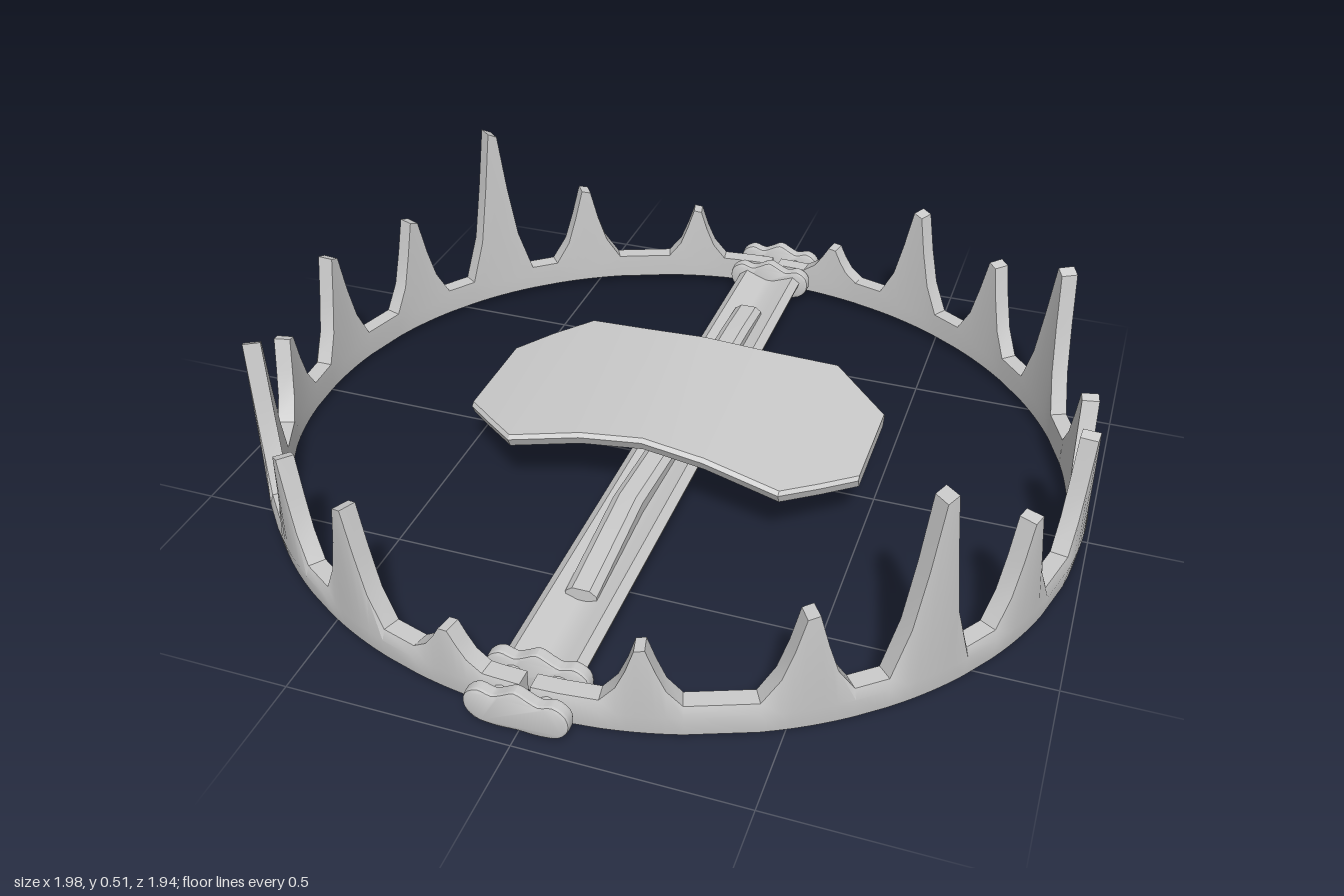
import * as THREE from 'three';
import { toCreasedNormals } from 'three/addons/utils/BufferGeometryUtils.js';

const steel = new THREE.MeshStandardMaterial({ color: 0xcccccc });

function part(name, geometry, parent) {
  const mesh = new THREE.Mesh(geometry, steel);
  mesh.name = name;
  parent.add(mesh);
  return mesh;
}

// Skin a list of equal-length cross-sections and cap both ends
function loft(rings, crease = 0.6) {
  const n = rings[0].length, last = (rings.length - 1) * n, index = [];
  for (let i = 0; i < rings.length - 1; i++) {
    for (let j = 0; j < n; j++) {
      const a = i * n + j, b = i * n + (j + 1) % n;
      index.push(a, b, b + n, a, b + n, a + n);
    }
  }
  for (let j = 1; j < n - 1; j++) {
    index.push(0, j + 1, j, last, last + j, last + j + 1);
  }
  const g = new THREE.BufferGeometry();
  g.setAttribute('position', new THREE.Float32BufferAttribute(rings.flat(2), 3));
  g.setIndex(index);
  return toCreasedNormals(g, crease);
}

// Teeth of one jaw: angle from the front hinge, height of the tip
const teeth = [[0.24, 0.23], [0.58, 0.3], [0.86, 0.515], [1.15, 0.33], [1.48, 0.355],
  [1.78, 0.275], [2.1, 0.445], [2.4, 0.32], [2.69, 0.355], [2.96, 0.17]];
// Half-profile of a tooth: angular offset, share of its height
const toothProfile = [[-0.1, 0], [-0.06, 0.27], [-0.035, 0.6], [-0.014, 0.97],
  [0.012, 1], [0.035, 0.62], [0.06, 0.27], [0.1, 0]];

function jawGeometry() {
  const gum = 0.085;
  const columns = [[0.012, gum], [0.07, gum]];
  for (const [t, h] of teeth) {
    const w = h < 0.25 ? 0.85 : 1;
    for (const [dt, s] of toothProfile) columns.push([t + dt * w, gum + (h - gum) * s]);
  }
  columns.push([Math.PI - 0.07, gum], [Math.PI - 0.012, gum]);
  return loft(columns.map(([t, top]) => {
    const lift = 0.008 * Math.abs(Math.cos(t)); // band dips slightly at the sides
    const lean = 0.03 * (top - gum);
    const at = (o, y) => [(0.965 + o) * Math.sin(t), y, (0.9 + o) * Math.cos(t)];
    return [at(-0.02, 0.012 + lift), at(-0.022, 0.06), at(-0.022 + lean, top),
      at(0.018 + lean, top), at(0.026, 0.06), at(0.018, lift)];
  }));
}

// Lobed plate holding the hinge pins
function hingePlateGeometry() {
  const right = [[0.03, 0.098], [0.05, 0.09], [0.08, 0.098], [0.108, 0.08],
    [0.112, 0.045], [0.09, 0.018], [0.045, 0.01]];
  const left = right.map(([x, y]) => [-x, y]).reverse();
  const outline = [[0, 0.112], ...left.reverse(), [0, 0.012], ...right.reverse()];
  const curve = new THREE.CatmullRomCurve3(
    outline.map(([x, y]) => new THREE.Vector3(x, y, 0)), true);
  const shape = new THREE.Shape(curve.getPoints(48).map(p => new THREE.Vector2(p.x, p.y)));
  const g = new THREE.ExtrudeGeometry(shape, { depth: 0.016, bevelEnabled: true,
    bevelSize: 0.006, bevelOffset: -0.006, bevelThickness: 0.008, bevelSegments: 2 });
  g.translate(0, 0, -0.008);
  return toCreasedNormals(g, 0.6);
}

// Base bar: rounded underneath, a valley along the top
function baseBarGeometry() {
  const shape = new THREE.Shape();
  shape.moveTo(-0.085, 0.065);
  shape.bezierCurveTo(-0.08, 0.0, 0.085, 0.0, 0.09, 0.065);
  for (const [x, y] of [[0.07, 0.08], [0.045, 0.07], [0.012, 0.058], [-0.008, 0.058],
    [-0.04, 0.07], [-0.065, 0.08]]) shape.lineTo(x, y);
  const g = new THREE.ExtrudeGeometry(shape,
    { depth: 1.7, bevelEnabled: false, curveSegments: 12 });
  g.translate(0, 0, -0.85);
  return toCreasedNormals(g, 0.6);
}

// Arm lying on the bar under the pressure plate
function armGeometry() {
  const stations = [[-0.625, 0, 0.088], [-0.5, 0, 0.096], [-0.3, 0, 0.1],
    [0, -0.005, 0.092], [0.3, -0.012, 0.102], [0.45, -0.006, 0.096], [0.62, 0, 0.088]];
  return loft(stations.map(([z, x, top]) => [[-0.036, 0.055], [0.036, 0.055],
    [0.036, top - 0.012], [0.02, top], [-0.02, top], [-0.036, top - 0.012]]
    .map(([dx, y]) => [x + dx, y, z])));
}

// Arched pressure plate with cut corners and a narrow waist
function pressurePlateGeometry() {
  const stations = [[-0.475, 0.138, 0.15], [-0.4, 0.208, 0.168], [-0.315, 0.28, 0.183],
    [-0.15, 0.25, 0.207], [0, 0.24, 0.219], [0.15, 0.25, 0.205], [0.335, 0.28, 0.18],
    [0.41, 0.21, 0.168], [0.485, 0.138, 0.158]];
  return loft(stations.map(([x, hz, y]) => [[y - 0.032, -hz + 0.012], [y - 0.008, -hz],
    [y, -hz + 0.01], [y, hz - 0.01], [y - 0.008, hz], [y - 0.032, hz - 0.012]]
    .map(([py, pz]) => [x, py, pz])), 0.5);
}

export function createModel() {
  const trap = new THREE.Group();
  trap.name = 'jawTrap';

  const jaw = jawGeometry();
  part('leftJaw', jaw, trap);
  part('rightJaw', jaw, trap).rotation.y = Math.PI;

  part('baseBar', baseBarGeometry(), trap);
  part('arm', armGeometry(), trap);
  part('pressurePlate', pressurePlateGeometry(), trap);

  // Hinges: two plates clamping the jaw ends, joined by pins
  const plate = hingePlateGeometry();
  const pin = new THREE.CylinderGeometry(0.022, 0.022, 0.12, 12).rotateX(Math.PI / 2);
  for (const [name, side] of [['frontHinge', 1], ['backHinge', -1]]) {
    const hinge = new THREE.Group();
    hinge.name = name;
    part('outerPlate', plate, hinge).position.z = side * 0.955;
    part('innerPlate', plate, hinge).position.z = side * 0.845;
    for (const x of [-0.05, 0.05]) {
      part('hingePin', pin, hinge).position.set(x, 0.052, side * 0.9);
    }
    trap.add(hinge);
  }
  return trap;
}
